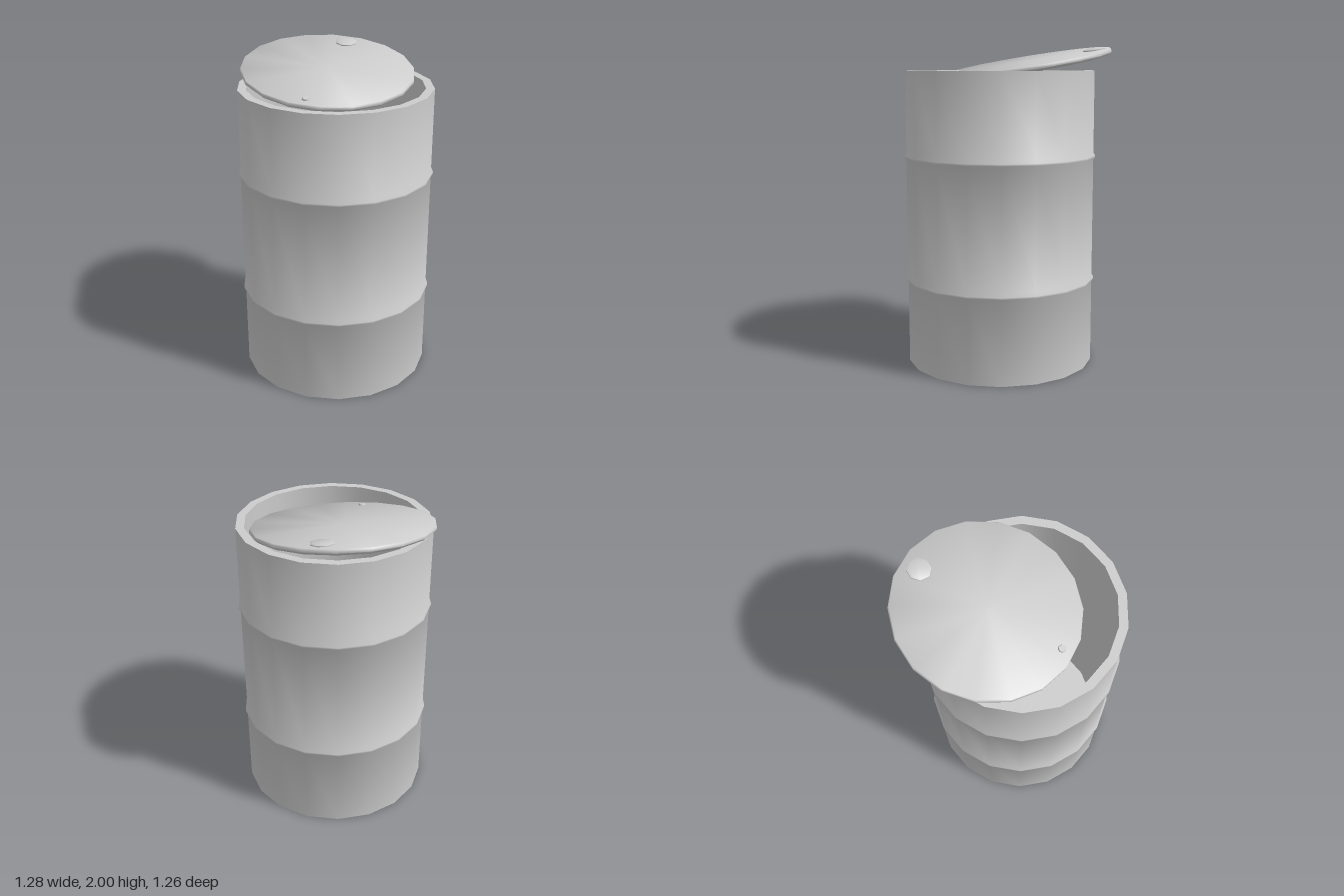
import * as THREE from 'three';
import { toCreasedNormals } from 'three/addons/utils/BufferGeometryUtils.js';

const SIDES = 18;
const rad = THREE.MathUtils.degToRad;

function lathe(name, points, sides, startDegrees) {
  const profile = points.map(([r, y]) => new THREE.Vector2(r, y));
  const geometry = new THREE.LatheGeometry(profile, sides, rad(startDegrees), Math.PI * 2);
  const material = new THREE.MeshStandardMaterial({ color: 0xcccccc });
  const mesh = new THREE.Mesh(toCreasedNormals(geometry, rad(50)), material);
  mesh.name = name;
  return mesh;
}

// Small raised cap with a bevelled edge
function cap(name, radius, top, height, sides, x, z) {
  const mesh = lathe(name, [[radius, -0.005], [radius, height * 0.5], [top, height], [0, height]], sides, 10);
  mesh.position.set(x, 0, z);
  return mesh;
}

export function createModel() {
  const model = new THREE.Group();
  model.name = 'openDrum';

  // Hollow drum: recessed floor, outer wall with two rolling hoops, thick rim, inner wall
  const R = 0.592;
  const hoop = (y) => [[R, y - 0.022], [R + 0.012, y - 0.006], [R + 0.012, y + 0.006], [R, y + 0.022]];
  const drum = lathe('drumBody', [
    [0, 0.03], [0.555, 0.03], [0.555, 0], [R, 0],
    ...hoop(0.54), ...hoop(1.32),
    [R, 1.85], [0.54, 1.85], [0.54, 0.05], [0, 0.05],
  ], SIDES, -5);
  drum.position.set(0.035, 0, 0.025);
  model.add(drum);

  // Loose lid resting askew, raised towards the back right
  const lid = new THREE.Group();
  lid.name = 'lid';
  lid.add(lathe('lidDisc', [[0, -0.035], [0.525, -0.035], [0.54, -0.022], [0.54, -0.005], [0.535, 0], [0, 0]], SIDES, 9));
  lid.add(cap('largeBung', 0.07, 0.058, 0.012, 8, -0.13, -0.41));
  lid.add(cap('smallBung', 0.023, 0.02, 0.01, 8, 0.14, 0.44));
  const slope = 0.175 / Math.SQRT2;
  const normal = new THREE.Vector3(slope, 1, slope).normalize();
  lid.quaternion.setFromUnitVectors(new THREE.Vector3(0, 1, 0), normal);
  lid.position.set(-0.105, 1.908, -0.1);
  model.add(lid);

  return model;
}
